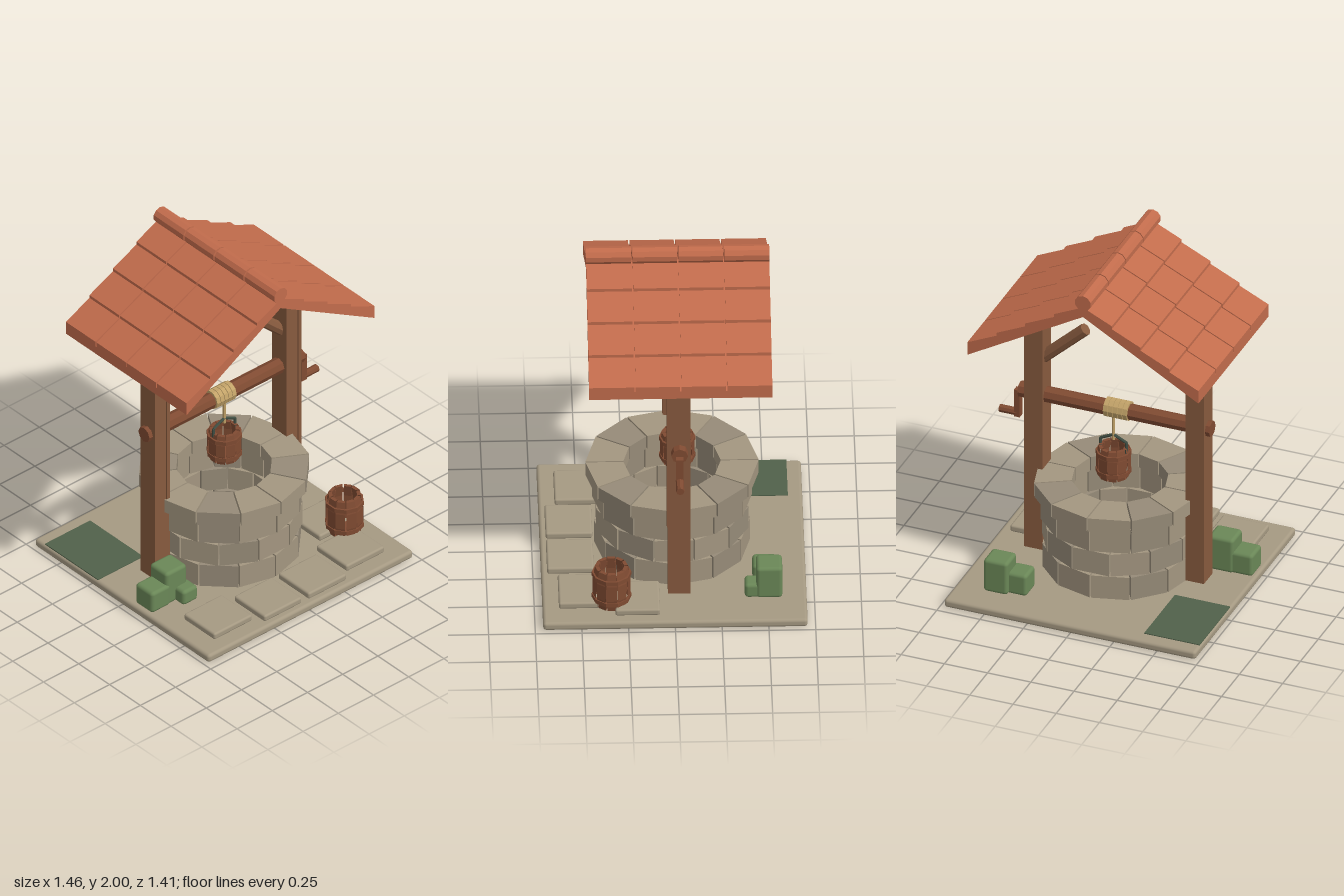
import * as THREE from 'three';
import { RoundedBoxGeometry } from 'three/addons/geometries/RoundedBoxGeometry.js';

const mat = (name, color, extra = {}) => {
  const m = new THREE.MeshStandardMaterial({ color, ...extra });
  m.name = name;
  return m;
};

export function createModel() {
  const flat = { flatShading: true };
  const paving = mat('paving', 0xa59982);
  const stone = mat('stone', 0xa39680, flat);
  const greyStone = mat('greyStone', 0x968b78, flat);
  const wood = mat('wood', 0x875a3e, flat);
  const redWood = mat('redWood', 0x804b32, { ...flat, side: THREE.DoubleSide });
  const tile = mat('roofTile', 0xc26c4c, flat);
  const leaf = mat('leaf', 0x6a8757);
  const moss = mat('moss', 0x51614a);
  const ropeMat = mat('rope', 0xc2a268, flat);
  const metal = mat('metal', 0x414f44, flat);

  const root = new THREE.Group();
  root.name = 'waterWell';
  const Z = -0.027; // plane of posts, axle and bucket

  const add = (name, geo, material, x = 0, y = 0, z = 0, parent = root) => {
    const mesh = new THREE.Mesh(geo, material);
    mesh.name = name;
    mesh.position.set(x, y, z);
    parent.add(mesh);
    return mesh;
  };
  const group = (name, x = 0, y = 0, z = 0) => {
    const g = new THREE.Group();
    g.name = name;
    g.position.set(x, y, z);
    root.add(g);
    return g;
  };
  // straight round bar between two points
  const bar = (name, a, b, r, sides, material, parent = root) => {
    const p = new THREE.Vector3(...a), q = new THREE.Vector3(...b);
    const d = q.clone().sub(p);
    const mesh = add(name, new THREE.CylinderGeometry(r, r, d.length(), sides), material, 0, 0, 0, parent);
    mesh.position.copy(p).add(q).multiplyScalar(0.5);
    mesh.quaternion.setFromUnitVectors(new THREE.Vector3(0, 1, 0), d.normalize());
    return mesh;
  };
  const extrude = (pts, depth) => new THREE.ExtrudeGeometry(
    new THREE.Shape(pts.map(p => new THREE.Vector2(...p))), { depth, bevelEnabled: false });

  // ground: base slab, paving stones, moss patch
  add('base', new RoundedBoxGeometry(1.455, 0.05, 1.415, 2, 0.018), paving, 0, 0.025, 0);
  [[-0.475, 0.495, 0.27, 0.25], [-0.168, 0.55, 0.265, 0.25], [0.147, 0.55, 0.27, 0.25],
    [0.465, 0.495, 0.27, 0.25], [0.535, 0.2, 0.27, 0.24]].forEach(([x, z, w, d]) =>
    add('pavingStone', new RoundedBoxGeometry(w, 0.04, d, 2, 0.012), paving, x, 0.07, z));
  add('mossPatch', new THREE.BoxGeometry(0.32, 0.006, 0.43), moss, -0.56, 0.052, -0.415);

  // well wall: staggered rings of twelve wedge blocks
  const ring = (name, y, h, rIn, rOut, turn) => {
    const g = group(name, 0, y, 0);
    const half = Math.PI / 12;
    const gap = 0.004;
    const at = (r, s) => {
      const a = s * (half - gap / r);
      return [r * Math.cos(a), r * Math.sin(a)];
    };
    const geo = extrude([at(rIn, -1), at(rOut, -1), at(rOut, 1), at(rIn, 1)], h);
    geo.rotateX(-Math.PI / 2);
    for (let i = 0; i < 12; i++) {
      const block = add('block', geo, (i * 5 + Math.round(y * 20)) % 3 ? stone : greyStone, 0, 0, 0, g);
      block.rotation.y = turn + half + i * half * 2;
    }
  };
  ring('wallRingLow', 0.067, 0.138, 0.28, 0.418, 0);
  ring('wallRingMiddle', 0.216, 0.135, 0.28, 0.421, Math.PI / 12);
  ring('wallRingHigh', 0.362, 0.135, 0.28, 0.428, 0);
  ring('wallCap', 0.503, 0.082, 0.26, 0.463, 0);

  // posts and braces
  for (const s of [-1, 1]) {
    add('post', new THREE.BoxGeometry(0.106, 1.49, 0.12), wood, s * 0.467, 0.83, -0.025);
    add('postStrip', new THREE.BoxGeometry(0.022, 1.01, 0.008), wood, s * 0.467 + 0.036, 1.025, 0.037);
    bar('brace', [s * 0.44, 1.246, Z], [s * 0.188, 1.48, Z], 0.035, 8, wood);
  }

  // axle and crank
  bar('axle', [-0.545, 1.025, Z], [0.565, 1.025, Z], 0.045, 8, redWood);
  add('crankArm', new THREE.BoxGeometry(0.034, 0.165, 0.04), redWood, 0.578, 0.938, Z);
  bar('crankHandle', [0.58, 0.877, Z], [0.683, 0.877, Z], 0.022, 8, redWood);

  // rope coil and hanging rope
  for (let i = 0; i < 5; i++) {
    const x = -0.058 + i * 0.028;
    bar('ropeCoil', [x - 0.0125, 1.028, Z], [x + 0.0125, 1.028, Z], 0.055, 10, ropeMat);
  }
  bar('rope', [0.026, 0.83, Z], [0.026, 0.99, Z], 0.009, 6, ropeMat);

  // staved tub, used for both the bucket and the barrel
  const tub = (name, x, y, z, h, r, bulge) => {
    const g = group(name, x, y, z);
    const profile = [[r - 0.02, 0], [r, 0], [bulge, h * 0.3], [bulge, h * 0.7], [r, h], [r - 0.02, h],
      [bulge - 0.02, h * 0.7], [bulge - 0.02, h * 0.3], [r - 0.02, 0]].map(p => new THREE.Vector2(...p));
    const step = Math.PI / 5;
    for (let i = 0; i < 10; i++)
      add('stave', new THREE.LatheGeometry(profile, 1, i * step + 0.05, step - 0.1), redWood, 0, 0, 0, g);
    for (const t of [0.2, 0.8]) {
      const hoop = [[bulge - 0.008, -0.012], [bulge + 0.004, -0.012], [bulge + 0.004, 0.012],
        [bulge - 0.008, 0.012], [bulge - 0.008, -0.012]].map(p => new THREE.Vector2(...p));
      add('hoop', new THREE.LatheGeometry(hoop, 10), redWood, 0, h * t, 0, g);
    }
    add('bottom', new THREE.CylinderGeometry(r - 0.01, r - 0.01, 0.015, 10), redWood, 0, 0.015, 0, g);
    return g;
  };
  const bucket = tub('bucket', 0.026, 0.61, Z, 0.183, 0.082, 0.093);
  tub('barrel', 0.56, 0.067, 0.338, 0.237, 0.088, 0.102);

  // bucket handle
  const bend = [[-0.076, 0.15], [-0.076, 0.215], [0, 0.252], [0.076, 0.215], [0.076, 0.15]];
  for (let i = 0; i < 4; i++)
    bar('bucketHandle', [...bend[i], 0], [...bend[i + 1], 0], 0.008, 6, metal, bucket);

  // roof: deck, four by four tiles on each slope, ridge caps
  const roof = group('roof', 0, 0, -0.52);
  const slope = x => 1.917 - 0.578 * x;
  add('roofDeck', extrude([[0, 1.87], [0.668, 1.483], [0.668, slope(0.668)], [0, slope(0)],
    [-0.668, slope(0.668)], [-0.668, 1.483]], 0.98), tile, 0, 0, 0, roof);
  const pitch = 0.245;
  for (let row = 0; row < 4; row++) {
    const z = row * pitch + (row ? 0.004 : 0);
    const depth = pitch - (row % 3 ? 0.008 : 0.004);
    for (let k = 0; k < 4; k++) {
      const a = k * 0.167, b = a + 0.167;
      for (const s of [-1, 1]) {
        const pts = [[s * a, slope(a) - 0.005], [s * b, slope(b) - 0.005],
          [s * b, slope(b) + 0.03], [s * a, slope(a) + 0.012]];
        add('roofTile', extrude(pts, depth), tile, 0, 0, z, roof);
      }
    }
    bar('ridgeCap', [0, 1.953, z], [0, 1.953, z + depth], 0.047, 10, tile, roof);
  }

  // bushes: [x, bottom, z, width, height, depth]
  [[-0.655, 0.068, 0.172, 0.135, 0.132, 0.14], [-0.54, 0.068, 0.165, 0.148, 0.207, 0.14],
    [-0.497, 0.068, 0.25, 0.105, 0.092, 0.1], [0.485, 0.068, -0.507, 0.14, 0.198, 0.14],
    [0.375, 0.068, -0.485, 0.12, 0.13, 0.13], [0.5, 0.068, -0.425, 0.1, 0.088, 0.1],
  ].forEach(([x, y, z, w, h, d]) =>
    add('bush', new RoundedBoxGeometry(w, h, d, 2, 0.02), leaf, x, y + h / 2, z));

  return root;
}
